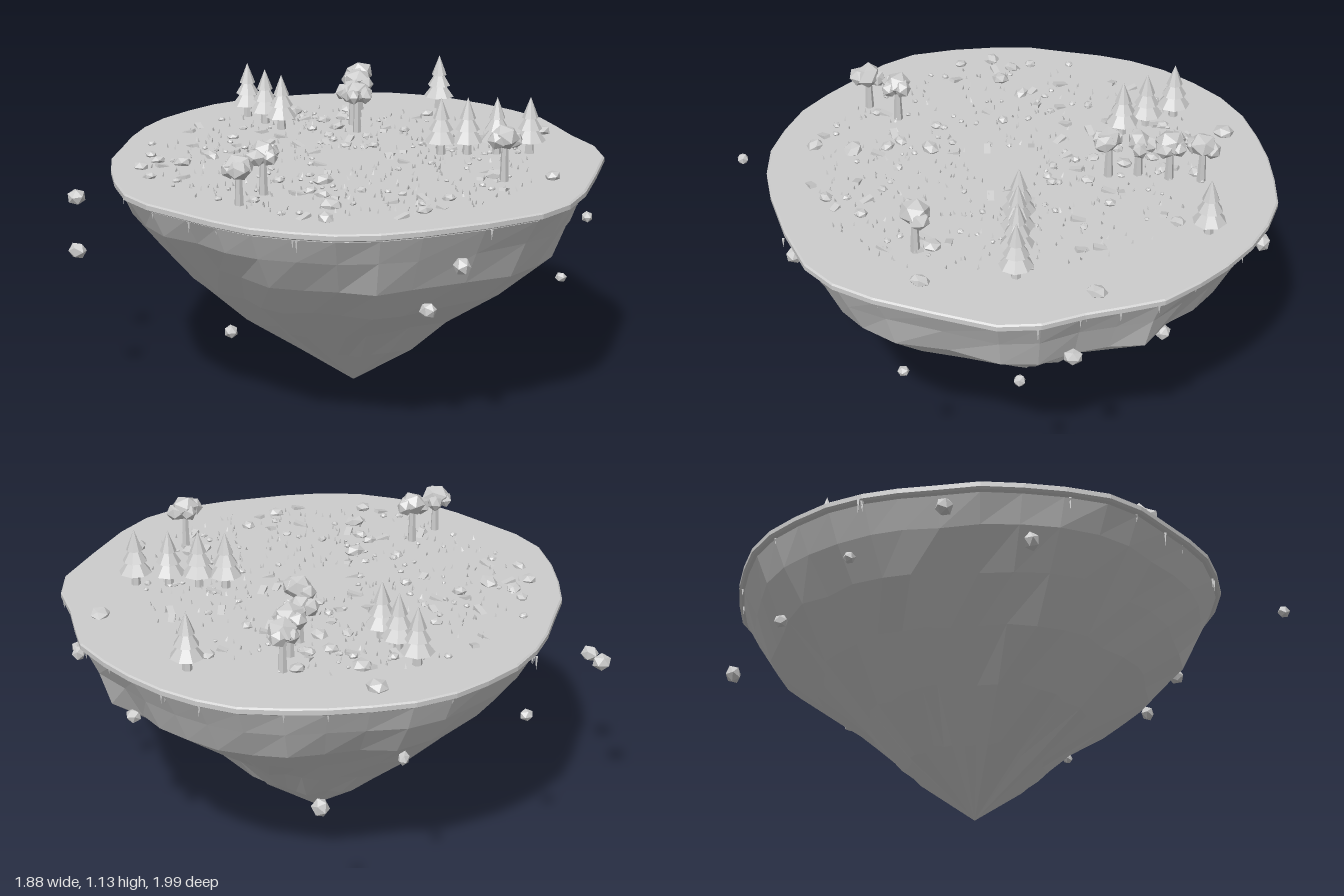
import * as THREE from 'three';
import { mergeGeometries } from 'three/addons/utils/BufferGeometryUtils.js';

// seeded random numbers
let seed = 7;
const rand = () => {
  seed = (seed * 16807) % 2147483647;
  return seed / 2147483647;
};
const spread = (a) => (rand() * 2 - 1) * a;

const GROUND = 0.912;
const CX = -0.02, CZ = -0.09; // axis of the island
// plan outline of the plateau, x and z pairs
const RIM = [
  [-.06, -1], [.1, -1], [.23, -.95], [.36, -.895], [.51, -.85], [.63, -.765], [.75, -.58], [.865, -.39],
  [.925, -.24], [.935, -.09], [.88, .12], [.795, .34], [.725, .475], [.63, .595], [.51, .685], [.38, .76],
  [.24, .8], [.1, .825], [-.06, .852], [-.2, .842], [-.35, .775], [-.48, .695], [-.6, .605], [-.695, .485],
  [-.785, .375], [-.855, .265], [-.91, .13], [-.935, -.02], [-.942, -.16], [-.915, -.31], [-.855, -.45],
  [-.785, -.58], [-.7, -.7], [-.605, -.815], [-.48, -.895], [-.35, -.95], [-.2, -.985],
];

// closed shell over rings listed from bottom to top
function shell(rings, bottomY, topY) {
  const n = RIM.length, pos = [];
  const tri = (...p) => p.forEach((v) => pos.push(...v));
  const last = rings[rings.length - 1];
  for (let i = 0; i < n; i++) {
    const j = (i + 1) % n;
    tri([CX, bottomY, CZ], rings[0][i], rings[0][j]);
    for (let k = 0; k + 1 < rings.length; k++) {
      const a = rings[k], b = rings[k + 1];
      tri(a[j], a[i], b[i]);
      tri(a[j], b[i], b[j]);
    }
    tri([CX, topY, CZ], last[j], last[i]);
  }
  const g = new THREE.BufferGeometry();
  g.setAttribute('position', new THREE.Float32BufferAttribute(pos, 3));
  g.computeVertexNormals();
  return g;
}

// rim outline scaled by f at height y; roughness runs mostly down whole columns,
// bulgeX and bulgeZ widen the ring towards one side
const COLUMN = RIM.map(() => spread(1));
const ring = (f, y, rough = 0, bulgeX = 0, bulgeZ = 0) => RIM.map(([x, z], i) => {
  const dx = x - CX, dz = z - CZ, d = Math.hypot(dx, dz);
  const s = f + (bulgeX * dx + bulgeZ * dz) / d + rough * (0.7 * COLUMN[i] + spread(0.35));
  return [CX + dx * s, y + spread(rough * 0.3), CZ + dz * s];
});

// faceted lump with a slightly irregular shape
function lump(x, y, z, r, flat = 1) {
  const g = new THREE.IcosahedronGeometry(r, 0);
  g.scale(1 + spread(0.2), flat, 1 + spread(0.2));
  g.rotateY(rand() * 6.28);
  g.rotateZ(spread(0.3));
  return g.translate(x, y, z);
}

const part = (parts) => mergeGeometries(parts.map((g) => (g.index ? g.toNonIndexed() : g)));

export function createModel() {
  seed = 7;
  const model = new THREE.Group();
  const stone = new THREE.MeshStandardMaterial({ color: 0xcccccc, flatShading: true });
  stone.name = 'stone grey';
  const add = (name, geometry, parent = model) => {
    const m = new THREE.Mesh(geometry, stone);
    m.name = name;
    parent.add(m);
    return m;
  };

  // tapering rock underside
  add('rockUnderside', shell([
    ring(0.275, 0.2, 0.03), ring(0.455, 0.35, 0.035, -0.01, 0.03), ring(0.67, 0.51, 0.03, 0.025, 0.005),
    ring(0.835, 0.65, 0.025, 0.02, -0.025), ring(0.92, 0.78, 0.012), ring(0.978, 0.878),
  ], 0, 0.878));

  // thin plateau with a bevelled rim
  add('plateau', shell([ring(0.99, 0.884), ring(1, 0.89), ring(1, 0.907), ring(0.993, GROUND)], 0.884, GROUND));

  // roots hanging below the rim
  const roots = [];
  for (let i = 0; i < 30; i++) {
    const [x, z] = RIM[Math.floor(rand() * RIM.length)];
    const s = 0.965 + rand() * 0.02, h = 0.03 + rand() * 0.03;
    const g = new THREE.ConeGeometry(0.006, h, 4);
    g.rotateX(Math.PI);
    roots.push(g.translate(CX + (x - CX) * s + spread(0.03), 0.886 - h / 2, CZ + (z - CZ) * s));
  }
  add('hangingRoots', part(roots));

  // pines: trunk and three stacked cones
  const pineGeometry = part([
    new THREE.CylinderGeometry(0.014, 0.018, 0.07, 6).translate(0, 0.035, 0),
    ...[[0.061, 0.08, 0.05], [0.046, 0.075, 0.095], [0.031, 0.08, 0.138]].map(([r, h, y]) =>
      new THREE.ConeGeometry(r, h, 8).translate(0, y + h / 2, 0)),
  ]);
  [[-.28, -.8], [.41, -.59], [.33, -.495], [.26, -.41], [.195, -.335], [-.705, -.145], [-.58, -.13], [-.47, -.12]]
    .forEach(([x, z]) => {
      const pine = add('pineTree', pineGeometry);
      pine.position.set(x, GROUND, z);
      pine.rotation.y = rand() * 3;
    });

  // broadleaf trees: trunk and clustered crown
  [[-.48, -.545, 1.06], [-.4, -.46, 1.06], [-.33, -.37, 1.045], [-.24, -.31, 1.065],
    [.13, .48, 1.06], [.165, .62, 1.045], [.59, -.26, 1.07]].forEach(([x, z, y]) => {
    const tree = new THREE.Group();
    tree.name = 'broadleafTree';
    model.add(tree);
    add('trunk', new THREE.CylinderGeometry(0.011, 0.017, y - GROUND, 6).translate(x, (y + GROUND) / 2, z), tree);
    const a = rand() * 6.28, dx = Math.cos(a) * 0.034, dz = Math.sin(a) * 0.034;
    add('crown', part([
      lump(x, y + 0.006, z, 0.05, 0.9),
      lump(x + dx, y - 0.008, z + dz, 0.036, 0.95),
      lump(x - dx, y, z - dz, 0.038, 0.95),
      lump(x + dz, y - 0.005, z - dx, 0.034, 0.95),
    ]), tree);
  });

  // boulders on the plateau: x, z, radius
  const boulders = [
    [.255, -.83, .034], [-.235, -.69, .026], [-.765, -.36, .038], [-.615, -.31, .036], [-.62, -.18, .024],
    [.685, -.415, .034], [.53, -.275, .034], [.165, .23, .038], [-.17, .22, .026], [.395, .4, .036],
    [.49, .51, .034], [-.35, .465, .036], [-.415, .605, .034], [-.3, .655, .024], [-.515, .485, .024],
    [-.44, .51, .028], [-.345, .33, .03], [-.635, .39, .018], [-.495, .105, .022], [.61, .04, .026],
    [.65, .2, .028], [.46, .12, .018], [.28, .34, .028], [.22, .34, .026], [.05, .345, .024],
    [.335, .2, .022], [-.125, -.455, .024], [-.535, -.29, .022], [-.335, -.29, .028], [-.445, -.32, .026],
    [-.05, -.22, .022], [-.12, -.14, .02], [-.21, -.16, .022], [.17, .56, .022], [-.16, -.29, .024],
    [-.06, -.18, .02], [-.38, -.2, .024], [-.27, -.19, .022], [-.42, -.4, .028], [-.5, -.5, .03],
  ];
  add('boulders', part(boulders.map(([x, z, r]) => lump(x, GROUND + r * 0.2, z, r, 0.65))));

  // scattered pebbles, leaning chips and grass blades
  const scatter = (count, make) => part(Array.from({ length: count }, () => {
    const a = rand() * 6.28, r = 0.12 + 0.62 * Math.pow(rand(), 0.7);
    return make(Math.cos(a) * r, Math.sin(a) * r * 0.95 - 0.02);
  }));
  add('pebbles', scatter(70, (x, z) => lump(x, GROUND + 0.004, z, 0.008 + rand() * 0.008, 0.7)));
  add('stoneChips', scatter(45, (x, z) => {
    const g = new THREE.BoxGeometry(0.035 + rand() * 0.03, 0.012, 0.025);
    g.rotateZ(0.3);
    return g.rotateY(rand() * 6.28).translate(x, GROUND + 0.001, z);
  }));
  add('grassBlades', scatter(380, (x, z) =>
    new THREE.ConeGeometry(0.005, 0.02, 3).rotateZ(spread(0.5)).rotateY(rand() * 6).translate(x, GROUND + 0.008, z)));

  // stones floating around the island: x, y, z, radius
  [[.54, .645, .97, .023], [-.55, .605, .81, .033], [-.79, .72, .64, .033], [.81, .75, .175, .033],
    [.755, .555, -.4, .019], [.645, .54, .17, .03], [.46, .67, .49, .017], [-.775, .54, -.6, .036],
    [-.865, .67, .22, .022], [-.8, .63, -.27, .026], [.545, .65, -.78, .023], [.38, .72, -.86, .03],
    [-.02, .64, -.87, .028]].forEach(([x, y, z, r]) => add('floatingStone', lump(x, y, z, r)));

  return model;
}
